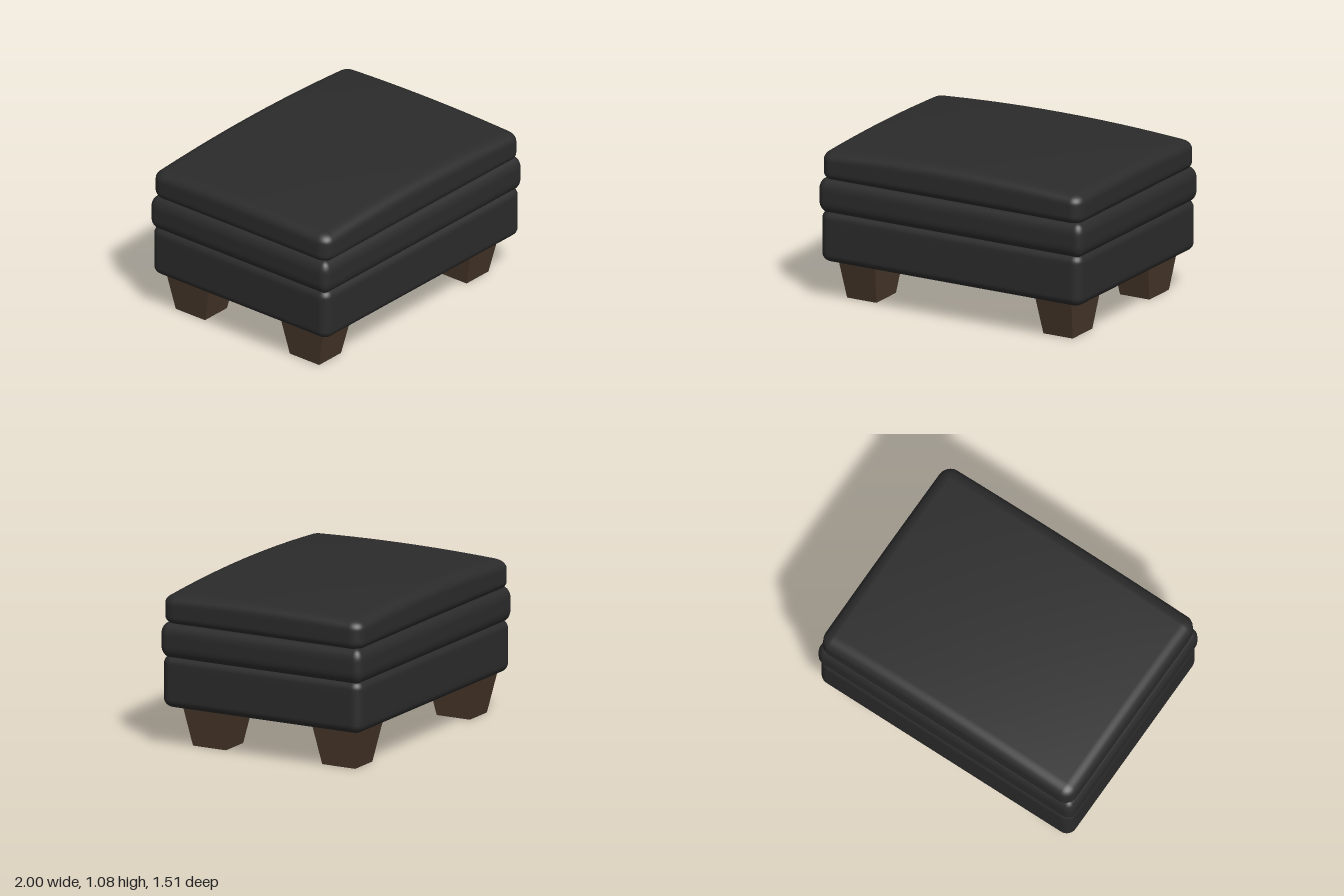
import * as THREE from 'three';
import { mergeVertices } from 'three/addons/utils/BufferGeometryUtils.js';

const leather = new THREE.MeshStandardMaterial({ color: 0x2b2b2b });
const wood = new THREE.MeshStandardMaterial({ color: 0x48372a, flatShading: true });

// Soft box between y0 and y1; r = edge radii per axis, crown = drop of the top towards its x and z ends
function cushion(name, halfX, halfZ, y0, y1, r, crown = [0, 0]) {
  let geometry = new THREE.BoxGeometry(2, 2, 2, 24, 16, 24);
  geometry.deleteAttribute('uv');
  geometry.deleteAttribute('normal');
  geometry = mergeVertices(geometry);
  const half = [halfX, (y1 - y0) / 2, halfZ];
  const pos = geometry.attributes.position;
  for (let i = 0; i < pos.count; i++) {
    const t = [pos.getX(i), pos.getY(i), pos.getZ(i)];
    // outer half of the grid covers the rounding, inner half the flat core
    const round = t.map((v) => Math.sign(v) * Math.tan(Math.max(0, Math.abs(v) * 2 - 1) * Math.PI / 4));
    const length = Math.hypot(...round);
    const p = t.map((v, a) => Math.max(-1, Math.min(1, v * 2)) * (half[a] - r[a]) + round[a] / length * r[a]);
    const rise = (p[1] + half[1]) / (2 * half[1]);
    const drop = crown[0] * (p[0] / halfX) ** 2 + crown[1] * (p[2] / halfZ) ** 2;
    pos.setXYZ(i, p[0], y0 + half[1] + p[1] - drop * Math.max(0, rise), p[2]);
  }
  geometry.computeVertexNormals();
  const mesh = new THREE.Mesh(geometry, leather);
  mesh.name = name;
  return mesh;
}

// Square block foot that narrows towards the floor
function leg(name, x, z) {
  const height = 0.28;
  const geometry = new THREE.BoxGeometry(0.28, height, 0.376);
  const pos = geometry.attributes.position;
  for (let i = 0; i < pos.count; i++) {
    if (pos.getY(i) < 0) {
      pos.setX(i, pos.getX(i) * 0.79);
      pos.setZ(i, pos.getZ(i) * 0.66);
    }
  }
  geometry.computeVertexNormals();
  const mesh = new THREE.Mesh(geometry, wood);
  mesh.name = name;
  mesh.position.set(x, height / 2, z);
  return mesh;
}

export function createModel() {
  const group = new THREE.Group();
  group.name = 'footstool';

  // Three stacked upholstered layers
  group.add(
    cushion('baseCushion', 0.987, 0.747, 0.266, 0.622, [0.07, 0.06, 0.07]),
    cushion('middleCushion', 1, 0.755, 0.602, 0.838, [0.06, 0.08, 0.06]),
    cushion('topCushion', 0.983, 0.746, 0.818, 1.075, [0.08, 0.075, 0.09], [0.04, 0.02]),
  );

  // Four legs
  for (const [side, x] of [['Left', 0.729], ['Right', -0.755]]) {
    for (const [end, z] of [['front', 0.462], ['back', -0.506]]) {
      group.add(leg(`${end}${side}Leg`, x, z));
    }
  }
  return group;
}
